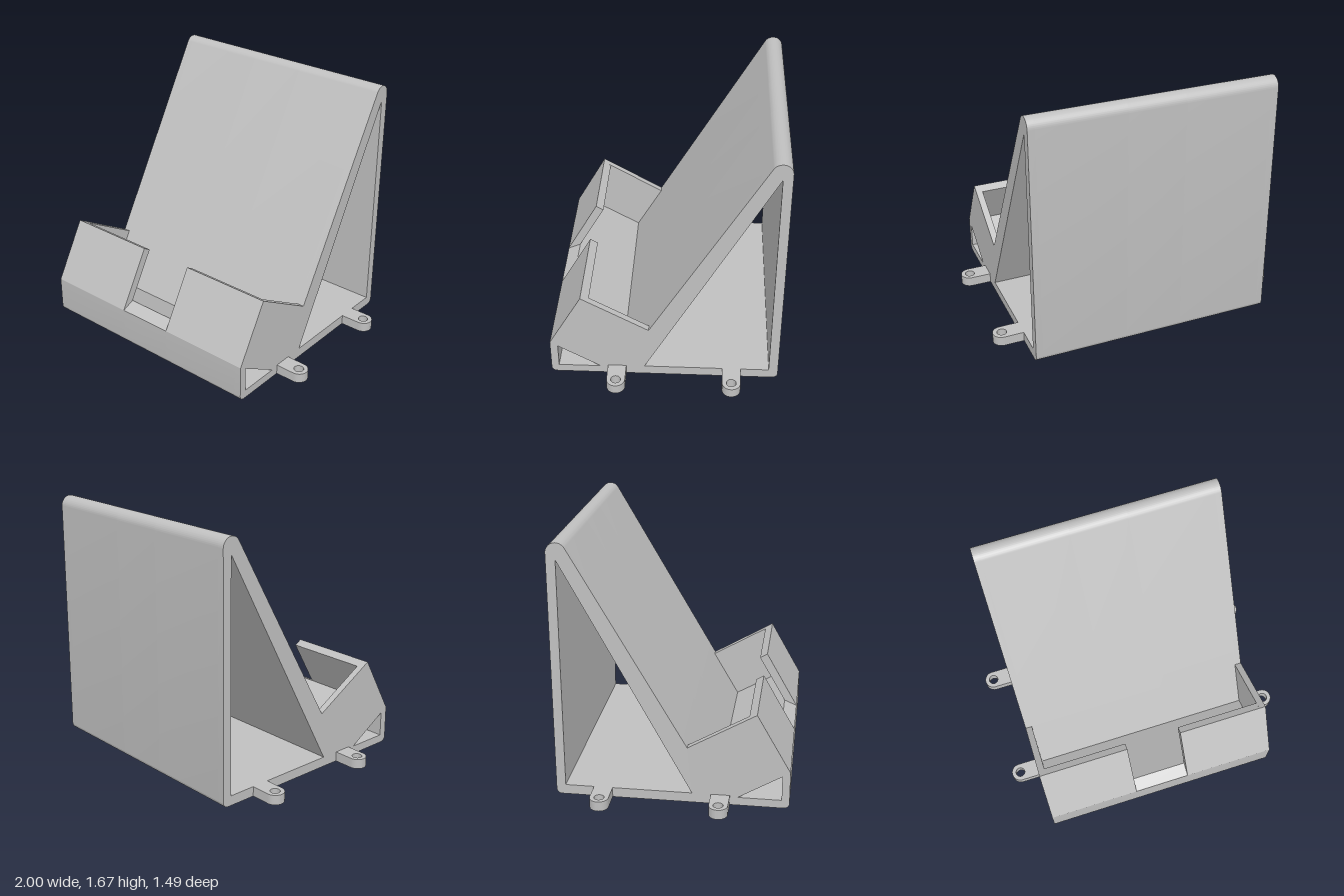
import * as THREE from 'three';
import { toCreasedNormals } from 'three/addons/utils/BufferGeometryUtils.js';

const HALF = 0.81;      // half width of the body
const INNER = 0.765;    // half width of the pocket
const NOTCH = 0.19;     // half width of the front notch
const DEPTH = 0.745;    // half depth
const TAB_HEIGHT = 0.065;

// Closed polygon path from [z, y] points
const polygon = (points, Type = THREE.Path) =>
  new Type(points.map(([z, y]) => new THREE.Vector2(z, y)));

// Side profile in (z, y); rim lists the points between front wall and sloped back rest
function profile(rim) {
  const r = 0.035, top = 0.0635;
  const s = new THREE.Shape();
  s.moveTo(DEPTH, r);
  s.lineTo(DEPTH, 0.25);
  rim.forEach(([z, y]) => s.lineTo(z, y));
  s.absarc(-DEPTH + top, 1.67 - top, top, Math.PI / 6, Math.PI, false);
  s.absarc(-DEPTH + r, r, r, Math.PI, Math.PI * 1.5, false);
  s.absarc(DEPTH - r, r, r, Math.PI * 1.5, Math.PI * 2, false);
  s.holes.push(
    polygon([[0.13, 0.065], [-0.685, 0.065], [-0.685, 1.565]]),
    polygon([[0.695, 0.055], [0.42, 0.055], [0.695, 0.22]])
  );
  return s;
}

// Extrude a (z, y) profile from x0 to x1
function slab(shape, x0, x1) {
  const g = new THREE.ExtrudeGeometry(shape, { depth: x1 - x0, bevelEnabled: false, curveSegments: 16 });
  g.rotateY(-Math.PI / 2);
  g.translate(x1, 0, 0);
  return toCreasedNormals(g, 0.5);
}

// Screw tab: rounded end with a hole, lying flat
function tabGeometry() {
  const cx = 0.94, r = 0.06;
  const s = new THREE.Shape();
  s.moveTo(HALF - 0.01, -r);
  s.lineTo(cx, -r);
  s.absarc(cx, 0, r, -Math.PI / 2, Math.PI / 2, false);
  s.lineTo(HALF - 0.01, r);
  s.closePath();
  const hole = new THREE.Path();
  hole.absarc(cx, 0, 0.032, 0, Math.PI * 2, true);
  s.holes.push(hole);
  const g = new THREE.ExtrudeGeometry(s, { depth: TAB_HEIGHT, bevelEnabled: false, curveSegments: 20 });
  g.rotateX(-Math.PI / 2);
  return toCreasedNormals(g, 0.5);
}

export function createModel() {
  const model = new THREE.Group();
  model.name = 'deviceStand';
  const grey = new THREE.MeshStandardMaterial({ color: 0xc0c0c0 });
  grey.name = 'grey plastic';

  const add = (name, geometry) => {
    const mesh = new THREE.Mesh(geometry, grey);
    mesh.name = name;
    model.add(mesh);
    return mesh;
  };

  // Points of the pocket: its floor stands square to the back rest
  const shoulder = [0.10, 0.38], floorBack = [0.28, 0.068], floorFront = [0.66, 0.287];
  const lipTop = [0.53, 0.63], lipInner = [0.48, 0.60];

  const wall = profile([lipTop, shoulder]);
  const pocket = profile([lipTop, lipInner, floorFront, floorBack, shoulder]);
  const notch = profile([floorFront, floorBack, shoulder]);

  // Body sections across the width
  add('rightSideWall', slab(wall, -HALF, -INNER));
  add('rightPocketSection', slab(pocket, -INNER, -NOTCH));
  add('notchedCentreSection', slab(notch, -NOTCH, NOTCH));
  add('leftPocketSection', slab(pocket, NOTCH, INNER));
  add('leftSideWall', slab(wall, INNER, HALF));

  // Four mounting tabs
  const tab = tabGeometry();
  for (const [end, z] of [['front', 0.31], ['back', -0.44]]) {
    add(end + 'LeftTab', tab).position.z = z;
    const right = add(end + 'RightTab', tab);
    right.position.z = z;
    right.rotation.y = Math.PI;
  }
  return model;
}
